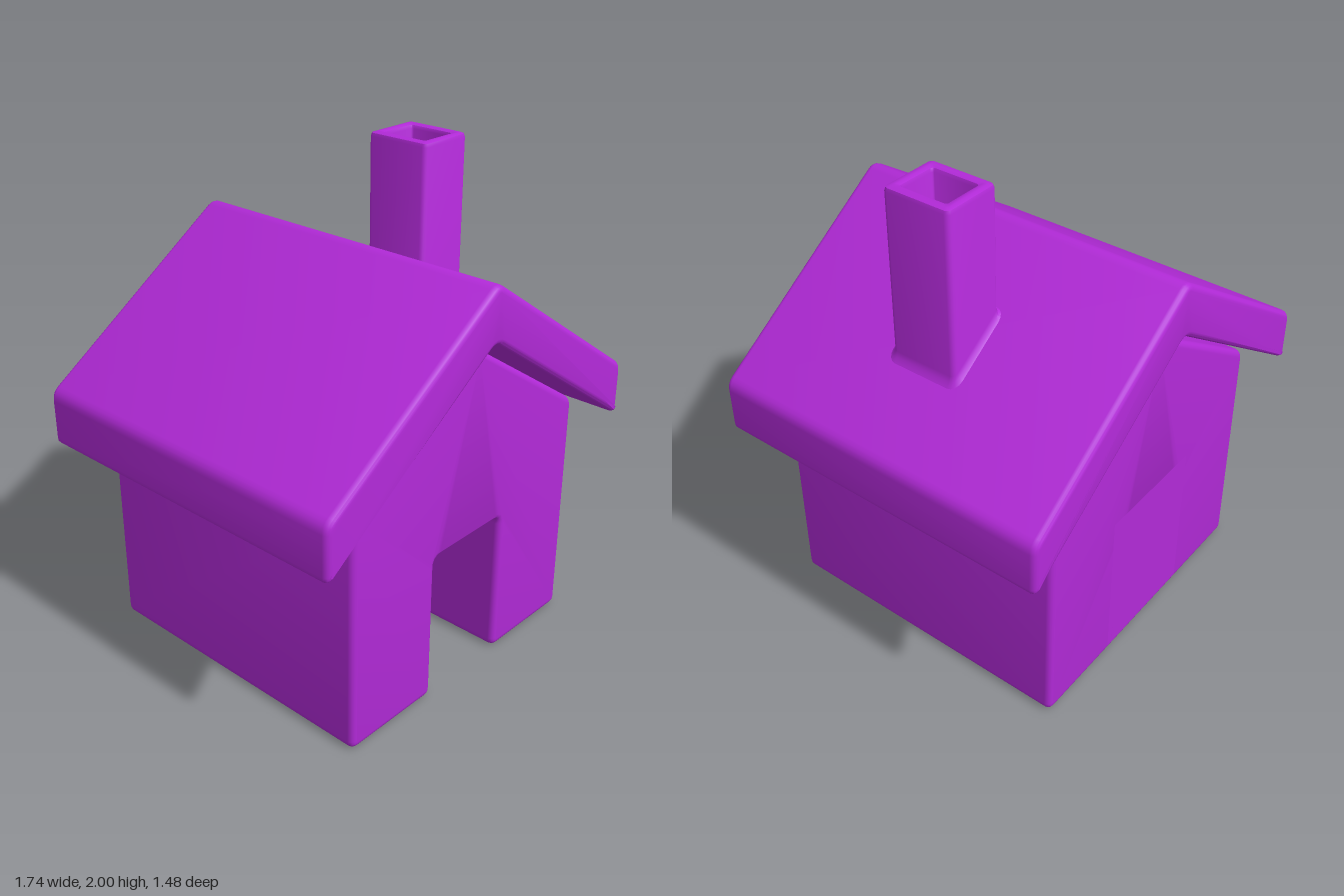
import * as THREE from 'three';
import { toCreasedNormals } from 'three/addons/utils/BufferGeometryUtils.js';
import { RoundedBoxGeometry } from 'three/addons/geometries/RoundedBoxGeometry.js';

const ROUND = 0.035, BEVEL = 0.025, CREASE = 0.75;
const roofY = (x) => 1.675 - 0.667 * Math.abs(x);

// Closed outline with every corner softened
function roundedShape(corners) {
  const pts = corners.map(([x, y]) => new THREE.Vector2(x, y));
  const shape = new THREE.Shape();
  pts.forEach((p, i) => {
    const prev = pts[(i + pts.length - 1) % pts.length];
    const next = pts[(i + 1) % pts.length];
    const a = prev.clone().sub(p).setLength(ROUND).add(p);
    const b = next.clone().sub(p).setLength(ROUND).add(p);
    if (i === 0) shape.moveTo(a.x, a.y); else shape.lineTo(a.x, a.y);
    shape.quadraticCurveTo(p.x, p.y, b.x, b.y);
  });
  shape.closePath();
  return shape;
}

// Soft-edged prism running along z, centred on z = 0
function softPrism(corners, depth) {
  const geo = new THREE.ExtrudeGeometry(roundedShape(corners), {
    depth: depth - 2 * BEVEL, curveSegments: 4, bevelEnabled: true,
    bevelThickness: BEVEL, bevelSize: BEVEL, bevelOffset: -BEVEL, bevelSegments: 4,
  });
  geo.translate(0, 0, BEVEL - depth / 2);
  return toCreasedNormals(geo, CREASE);
}

// Square tube lofted from rounded rectangles: flared foot, soft rim, inner flue
function chimneyGeometry(cx, cz, hw, hd) {
  const foot = (h) => (x) => roofY(x) + h;
  const flat = (y) => () => y;
  const rows = [ // [outline growth, height rule]
    [0.03, foot(-0.008)], [0.016, foot(0.004)], [0.006, foot(0.014)], [0, foot(0.032)],
    [0, flat(1.982)], [-0.005, flat(1.995)], [-0.018, flat(2)],
    [-0.03, flat(2)], [-0.042, flat(1.995)], [-0.047, flat(1.982)],
    [-0.047, flat(1.53)], [-0.052, flat(1.517)], [-0.065, flat(1.512)], [-hw, flat(1.512)],
  ];
  const steps = 4, n = 4 * (steps + 1), pos = [], index = [];
  rows.forEach(([grow, height], j) => {
    const w = hw + grow, d = Math.max(0, hd + grow * (grow === -hw ? hd / hw : 1));
    const r = Math.min(w, d, Math.max(0.012, 0.022 + grow));
    for (let c = 0; c < 4; c++) for (let s = 0; s <= steps; s++) {
      const a = (c + s / steps) * Math.PI / 2;
      const sx = c === 0 || c === 3 ? 1 : -1, sz = c < 2 ? 1 : -1;
      const x = cx + sx * (w - r) + r * Math.cos(a);
      pos.push(x, height(x), cz + sz * (d - r) + r * Math.sin(a));
    }
    if (j === 0) return;
    for (let i = 0; i < n; i++) {
      const a = (j - 1) * n + i, b = (j - 1) * n + (i + 1) % n;
      index.push(a, a + n, b, b, a + n, b + n);
    }
  });
  const geo = new THREE.BufferGeometry();
  geo.setAttribute('position', new THREE.Float32BufferAttribute(pos, 3));
  geo.setIndex(index);
  return toCreasedNormals(geo, CREASE);
}

export function createModel() {
  const model = new THREE.Group();
  model.name = 'house';
  const material = new THREE.MeshStandardMaterial({ color: 0xb22ad8 });
  const add = (name, geo, parent = model) => {
    const mesh = new THREE.Mesh(geo, material);
    mesh.name = name;
    parent.add(mesh);
    return mesh;
  };

  // Gabled body, with the doorway cut through the outline
  const body = new THREE.Group();
  body.name = 'body';
  model.add(body);
  add('walls', softPrism([
    [-0.655, 0], [-0.2, 0], [-0.2, 0.625], [0.2, 0.625], [0.2, 0], [0.655, 0],
    [0.655, 0.985], [0, 1.415], [-0.655, 0.985],
  ], 1.31), body);

  // Solid block closing the doorway behind its recess
  const backZ = -0.655, recessZ = 0.14;
  add('doorwayBack', new RoundedBoxGeometry(0.56, 0.72, recessZ - backZ, 4, BEVEL), body)
    .position.set(0, 0.36, (recessZ + backZ) / 2);

  // Chevron roof floating just above the walls
  add('roof', softPrism([
    [0, 1.455], [0.87, 0.865], [0.87, 1.095], [0, 1.68], [-0.87, 1.095], [-0.87, 0.865],
  ], 1.48));

  add('chimney', chimneyGeometry(0.433, -0.003, 0.126, 0.145));
  return model;
}
